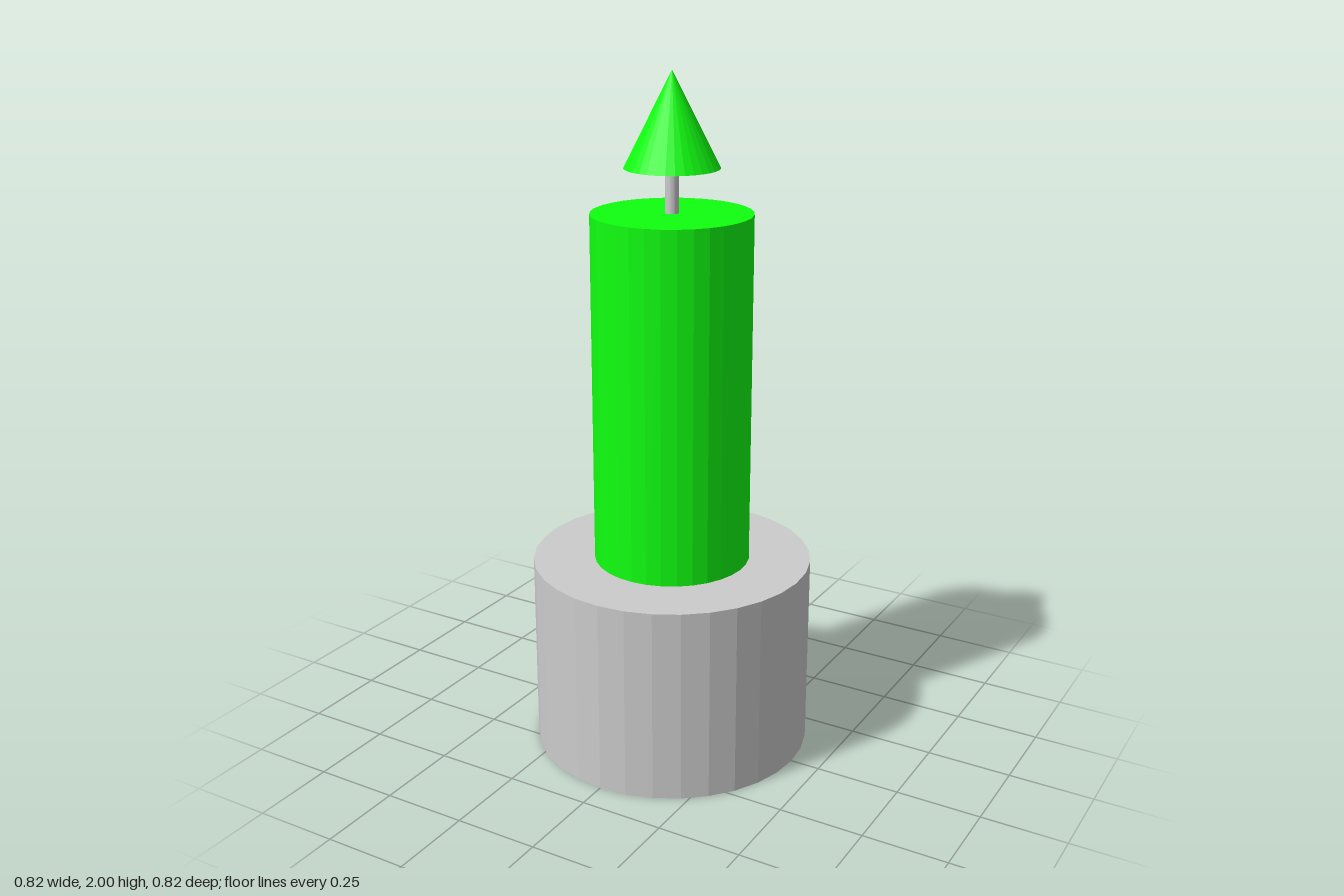
import * as THREE from 'three';

const SIDES = 32;

export function createModel() {
  const model = new THREE.Group();
  const grey = new THREE.MeshStandardMaterial({ color: 0xcccccc, flatShading: true });
  const green = new THREE.MeshStandardMaterial({ color: 0x10ff10, flatShading: true });

  // Adds an upright round part spanning bottom to top
  function addRound(name, radiusTop, radiusBottom, bottom, top, material) {
    const geometry = new THREE.CylinderGeometry(radiusTop, radiusBottom, top - bottom, SIDES);
    const mesh = new THREE.Mesh(geometry, material);
    mesh.name = name;
    mesh.position.y = (bottom + top) / 2;
    model.add(mesh);
  }

  addRound('base', 0.412, 0.412, 0, 0.58, grey);
  addRound('candle', 0.23, 0.23, 0.58, 1.61, green);
  addRound('wick', 0.019, 0.019, 1.61, 1.735, grey);
  addRound('flame', 0, 0.135, 1.735, 2, green);

  return model;
}
